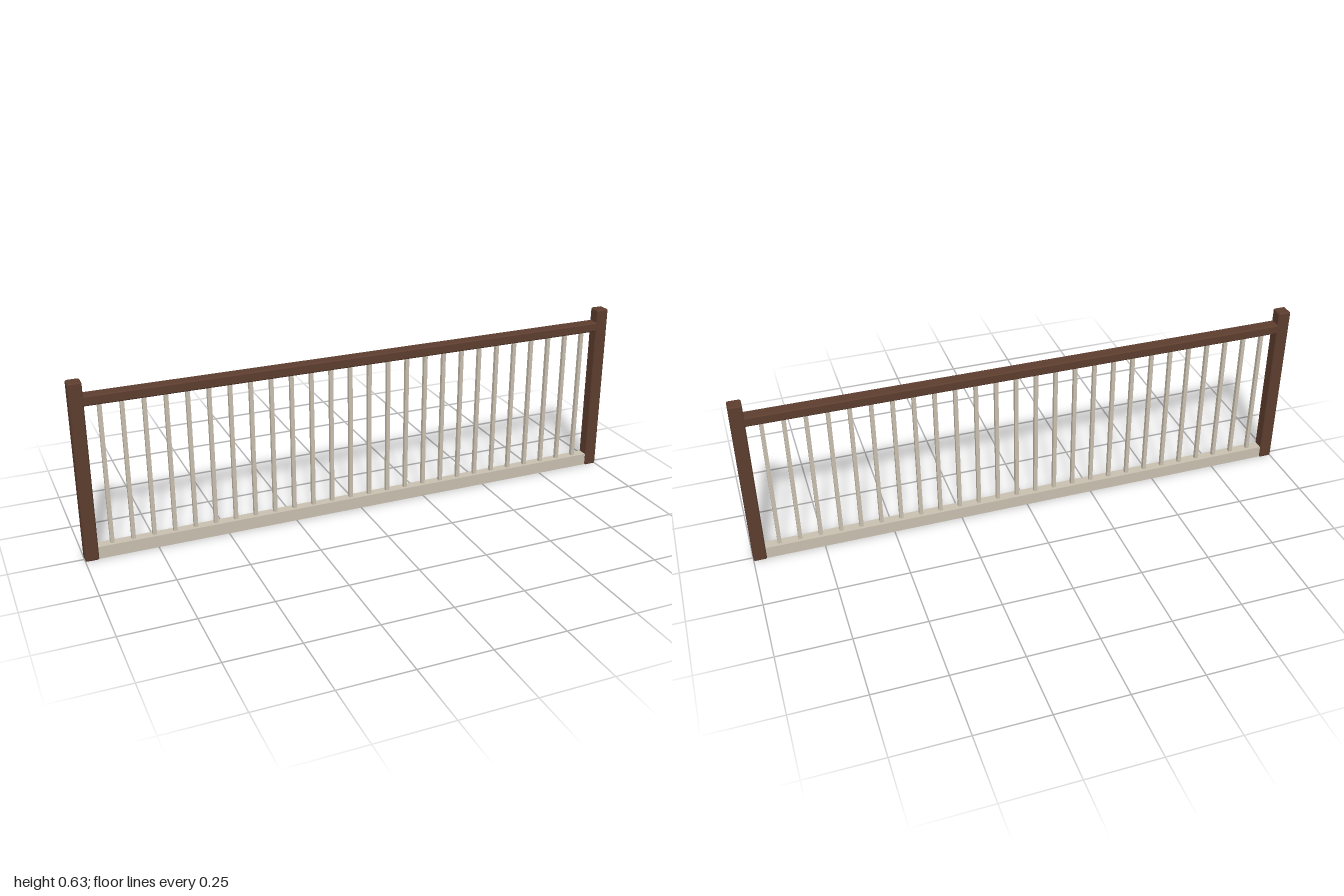
import * as THREE from 'three';
import { ConvexGeometry } from 'three/addons/geometries/ConvexGeometry.js';

// Box with every edge cut by a chamfer c
function chamferBox(w, h, d, c) {
  const half = [w / 2, h / 2, d / 2];
  const points = [];
  for (const sx of [-1, 1]) for (const sy of [-1, 1]) for (const sz of [-1, 1]) {
    for (let full = 0; full < 3; full++) {
      const [x, y, z] = half.map((v, i) => (i === full ? v : v - c));
      points.push(new THREE.Vector3(sx * x, sy * y, sz * z));
    }
  }
  return new ConvexGeometry(points);
}

export function createModel() {
  const group = new THREE.Group();
  group.name = 'railing';

  const darkWood = new THREE.MeshStandardMaterial({ color: 0x5c3d2e });
  darkWood.name = 'dark wood';
  const paleStone = new THREE.MeshStandardMaterial({ color: 0xc8bfae });
  paleStone.name = 'pale beige';

  const add = (name, geometry, material, x, y) => {
    const mesh = new THREE.Mesh(geometry, material);
    mesh.name = name;
    mesh.position.set(x, y, 0);
    group.add(mesh);
  };

  // End posts
  const postWidth = 0.046, postHeight = 0.634;
  const postGeometry = chamferBox(postWidth, postHeight, postWidth, 0.004);
  add('leftPost', postGeometry, darkWood, 1 - postWidth / 2, postHeight / 2);
  add('rightPost', postGeometry, darkWood, -1 + postWidth / 2, postHeight / 2);

  // Handrail and bottom rail, ending inside the posts
  add('handrail', chamferBox(1.93, 0.035, 0.044, 0.004), darkWood, 0, 0.5685);
  add('bottomRail', new THREE.BoxGeometry(1.93, 0.044, 0.036), paleStone, 0, 0.0235);

  // Square balusters
  const count = 26, reach = 0.903, bottom = 0.04, top = 0.556;
  const balusterGeometry = new THREE.BoxGeometry(0.0135, top - bottom, 0.0135);
  for (let i = 0; i < count; i++) {
    const x = -reach + (2 * reach * i) / (count - 1);
    add(`baluster${i + 1}`, balusterGeometry, paleStone, x, (top + bottom) / 2);
  }

  return group;
}
